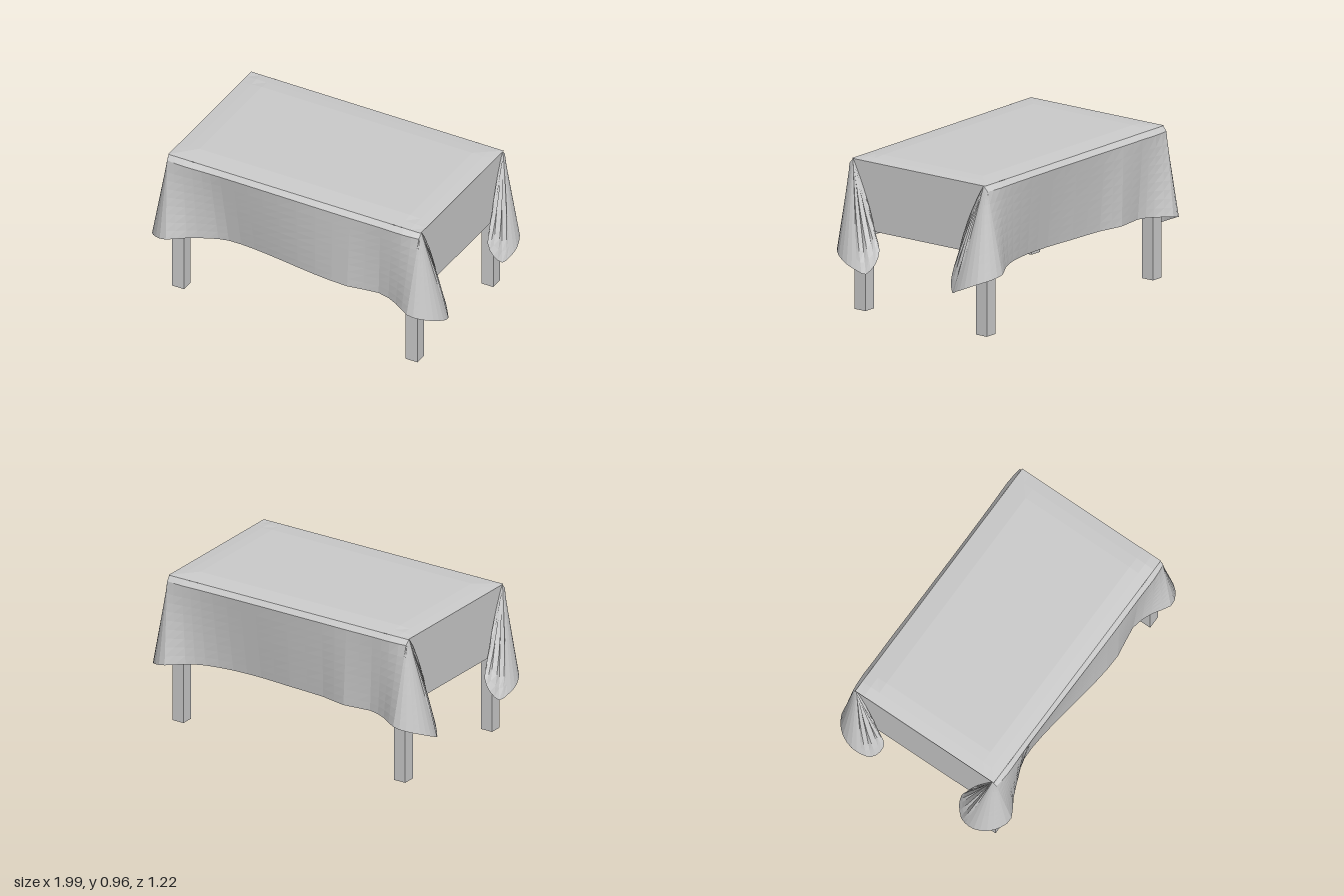
import * as THREE from 'three';

const cloth = new THREE.MeshStandardMaterial({ color: 0xcccccc, flatShading: true, side: THREE.DoubleSide });
const wood = new THREE.MeshStandardMaterial({ color: 0xcccccc, flatShading: true });

const HALF_X = 0.87, HALF_Z = 0.51, TOP = 0.945;

// Hem of one hanging corner: along the long side, round the corner,
// down to the tip, then up the free edge to the table corner.
const CORNER = [
  [0.72, 0.41, 0.55], [0.83, 0.4, 0.612], [0.91, 0.38, 0.59], [0.97, 0.355, 0.53],
  [0.995, 0.32, 0.45], [0.985, 0.29, 0.38], [0.96, 0.27, 0.33], [0.92, 0.33, 0.29],
  [0.885, 0.41, 0.285], [0.88, 0.5, 0.315], [0.88, 0.62, 0.35], [0.875, 0.73, 0.395],
  [0.87, 0.84, 0.45],
];

function add(group, name, geometry, material, x = 0, y = 0, z = 0) {
  const mesh = new THREE.Mesh(geometry, material);
  mesh.name = name;
  mesh.position.set(x, y, z);
  group.add(mesh);
  return mesh;
}

// Long side of the cloth with both gathered corners; waves = [x, z] of the hem folds
function drapeGeometry(waves) {
  const hem = [
    ...CORNER.map(([x, y, z]) => new THREE.Vector3(-x, y, z)).reverse(),
    ...waves.map(([x, z]) => new THREE.Vector3(x, 0.418, z)),
    ...CORNER.map((p) => new THREE.Vector3(...p)),
  ];
  const n = CORNER.length;
  const rim = hem.map((p, i) => {
    const fan = i < n - 1 || i > hem.length - n;
    return new THREE.Vector3(fan ? Math.sign(p.x) * HALF_X : p.x * 1.05, TOP, fan ? HALF_Z - 0.01 : HALF_Z);
  });
  const hemCurve = new THREE.CatmullRomCurve3(hem, false, 'catmullrom', 0.5);
  const rimCurve = new THREE.CatmullRomCurve3(rim, false, 'catmullrom', 0.5);

  const cols = (hem.length - 1) * 2, rows = 10;
  const positions = [], index = [];
  for (let c = 0; c <= cols; c++) {
    const a = rimCurve.getPoint(c / cols), b = hemCurve.getPoint(c / cols);
    a.x = THREE.MathUtils.clamp(a.x, -HALF_X, HALF_X);
    const k = Math.min(c, cols - c) / 2;              // control points from the free edge
    const edge = THREE.MathUtils.smoothstep(k, n - 5, n - 1);
    const pleat = k < 7 ? (c % 2 ? 0.012 : -0.004) : 0;
    for (let r = 0; r <= rows; r++) {
      const t = r === 1 ? 0.06 : r / rows;
      const p = a.clone().lerp(b, t);
      p.z += 0.028 * edge * (r ? 1 - t : 0);          // roll over the table edge
      p.x += Math.sign(p.x) * pleat * Math.sin(Math.PI * t);
      positions.push(p.x, p.y, p.z);
      if (c < cols && r < rows) {
        const i = c * (rows + 1) + r, j = i + rows + 1;
        index.push(i, i + 1, j, j, i + 1, j + 1);
      }
    }
  }
  const g = new THREE.BufferGeometry();
  g.setAttribute('position', new THREE.Float32BufferAttribute(positions, 3));
  g.setIndex(index);
  g.computeVertexNormals();
  return g;
}

export function createModel() {
  const model = new THREE.Group();
  model.name = 'tableWithCloth';

  // Table
  add(model, 'tableTop', new THREE.BoxGeometry(1.71, 0.065, 1.0), wood, 0, 0.905, 0);
  for (const x of [-0.805, 0.805]) {
    for (const z of [-0.465, 0.465]) {
      add(model, 'leg', new THREE.BoxGeometry(0.082, 0.88, 0.082), wood, x, 0.44, z);
    }
  }

  // Cloth over the top, rising slightly from its rim
  const top = new THREE.PlaneGeometry(HALF_X * 2, HALF_Z * 2, 24, 16).rotateX(-Math.PI / 2);
  const pos = top.attributes.position;
  for (let i = 0; i < pos.count; i++) {
    const inset = Math.min(HALF_X - Math.abs(pos.getX(i)), HALF_Z - Math.abs(pos.getZ(i)));
    pos.setY(i, TOP + 0.012 * Math.min(1, inset / 0.12));
  }
  top.computeVertexNormals();
  add(model, 'clothTop', top, cloth);

  // Flat cloth ends
  for (const side of [-1, 1]) {
    const end = new THREE.PlaneGeometry(HALF_Z * 2 - 0.02, TOP - 0.515).rotateY(side * Math.PI / 2);
    add(model, 'clothEnd', end, cloth, side * (HALF_X - 0.003), (TOP + 0.515) / 2, 0);
  }

  // Wavy long sides with gathered corners
  const front = [[-0.6, 0.5], [-0.48, 0.46], [-0.3, 0.465], [-0.1, 0.49], [0.15, 0.525], [0.38, 0.54], [0.58, 0.51]];
  const back = [[-0.6, 0.52], [-0.42, 0.54], [-0.25, 0.505], [0, 0.49], [0.22, 0.475], [0.42, 0.48], [0.6, 0.51]];
  add(model, 'clothFront', drapeGeometry(front), cloth);
  add(model, 'clothBack', drapeGeometry(back.map(([x, z]) => [-x, z]).reverse()), cloth).rotation.y = Math.PI;

  return model;
}
